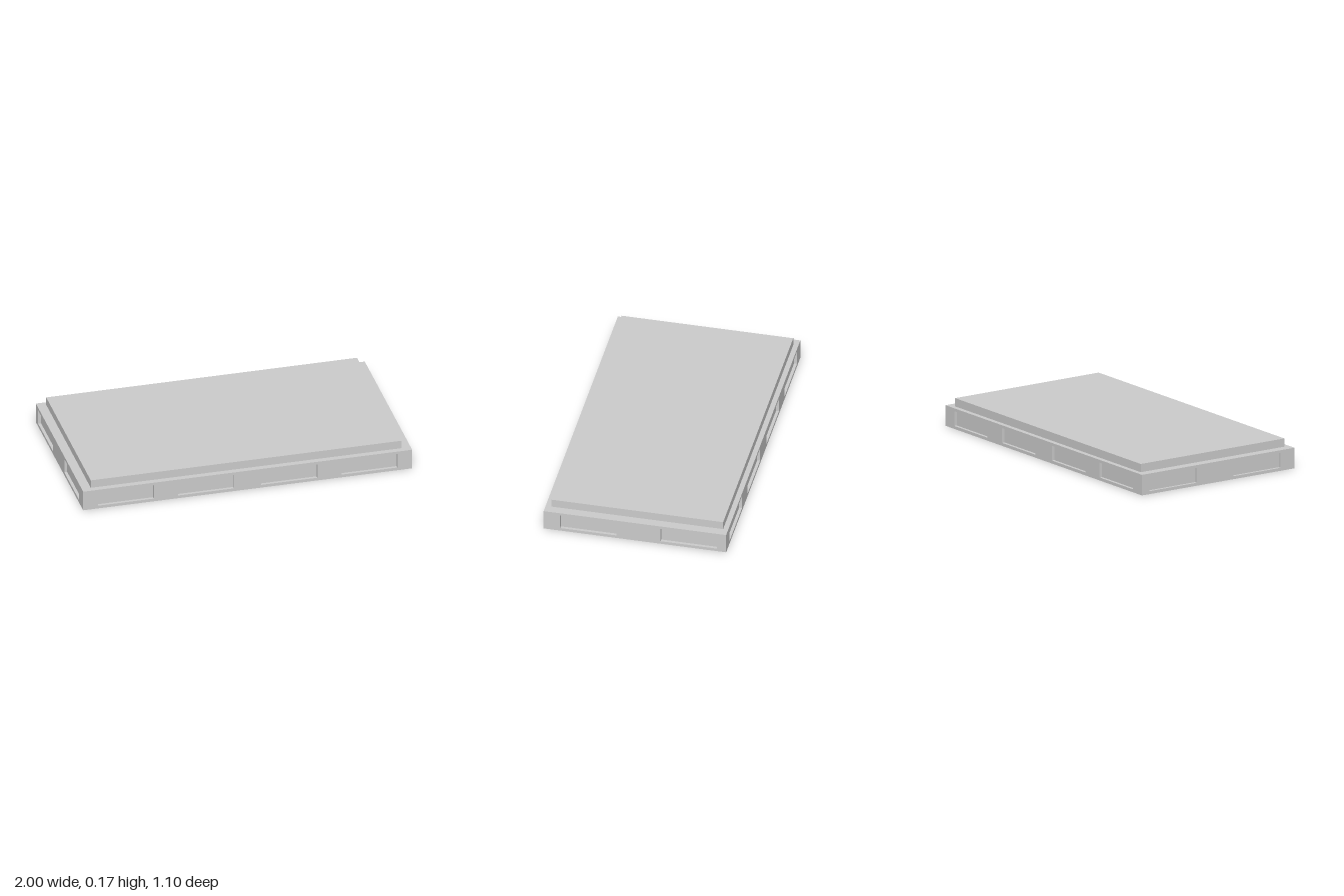
import * as THREE from 'three';

const W = 2, D = 1.1, H = 0.125, DEPTH = 0.018; // base size and recess depth
const SILL = 0.018, HEAD = 0.108;               // bottom and top of the recesses

// Upright wall in the xy plane, pierced by rectangular openings [from, to].
function wallGeometry(width, openings) {
  const rect = (target, x0, x1, y0, y1) =>
    target.moveTo(x0, y0).lineTo(x1, y0).lineTo(x1, y1).lineTo(x0, y1).closePath();
  const shape = new THREE.Shape();
  rect(shape, -width / 2, width / 2, 0, H);
  for (const [a, b] of openings) {
    const hole = new THREE.Path();
    rect(hole, a, b, SILL, HEAD);
    shape.holes.push(hole);
  }
  return new THREE.ExtrudeGeometry(shape, { depth: DEPTH, bevelEnabled: false });
}

export function createModel() {
  const model = new THREE.Group();
  model.name = 'panelledPlatform';
  const material = new THREE.MeshStandardMaterial({ color: 0xcccccc });

  const add = (name, geometry, x, y, z, turn = 0) => {
    const mesh = new THREE.Mesh(geometry, material);
    mesh.name = name;
    mesh.position.set(x, y, z);
    mesh.rotation.y = turn;
    model.add(mesh);
  };

  // Solid core: its sides form the backs of the recesses
  add('baseCore', new THREE.BoxGeometry(W - 2 * DEPTH, H, D - 2 * DEPTH), 0, H / 2, 0);

  // Long walls with four recesses each
  const long = wallGeometry(W, [[-0.91, -0.57], [-0.423, -0.085], [0.082, 0.423], [0.57, 0.91]]);
  add('frontWall', long, 0, 0, D / 2 - DEPTH);
  add('backWall', long, 0, 0, -D / 2 + DEPTH, Math.PI);

  // Short walls with two recesses each, at matching depths along z
  const spans = [[-0.495, -0.155], [0.11, 0.45]];
  const mirrored = spans.map(([a, b]) => [-b, -a]);
  const sideWidth = D - 2 * DEPTH;
  add('rightWall', wallGeometry(sideWidth, spans), -W / 2 + DEPTH, 0, 0, -Math.PI / 2);
  add('leftWall', wallGeometry(sideWidth, mirrored), W / 2 - DEPTH, 0, 0, Math.PI / 2);

  // Raised top slab
  add('topSlab', new THREE.BoxGeometry(1.89, 0.05, 1.035), 0, H + 0.025, -0.002);

  return model;
}
